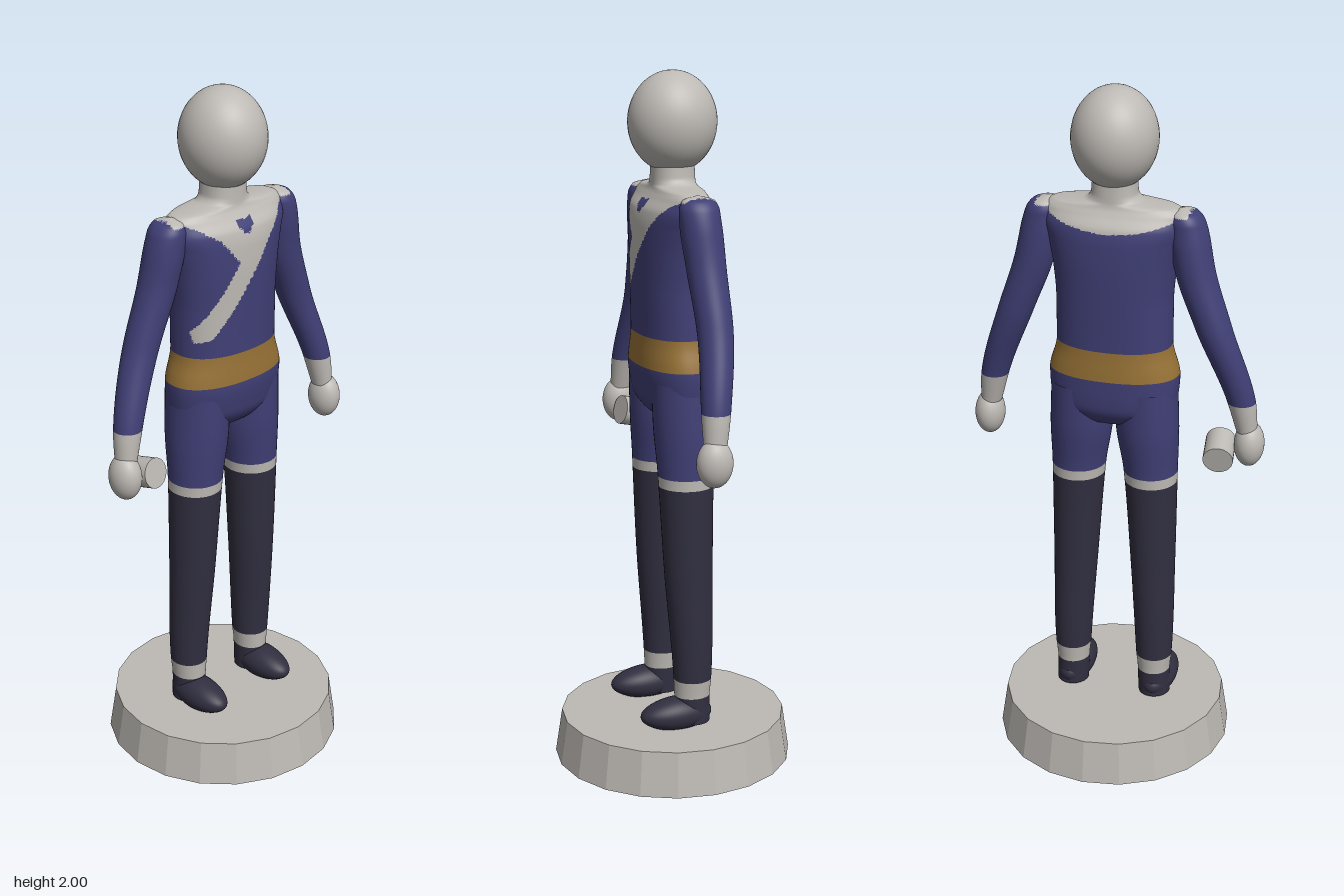
import * as THREE from 'three';

function material(name, color) {
  const m = new THREE.MeshStandardMaterial({ color });
  m.name = name;
  return m;
}

// Smooth monotone curve through column k of rows [y, cx, rx, cz, rz], y ascending
function sample(rows, k, y) {
  const slope = (i) => (rows[i + 1][k] - rows[i][k]) / (rows[i + 1][0] - rows[i][0]);
  const tangent = (i) => {
    if (i === 0) return slope(0);
    if (i === rows.length - 1) return slope(i - 1);
    const a = slope(i - 1), b = slope(i);
    return a * b <= 0 ? 0 : (2 * a * b) / (a + b);
  };
  let i = 0;
  while (i < rows.length - 2 && y > rows[i + 1][0]) i++;
  const h = rows[i + 1][0] - rows[i][0];
  const t = (y - rows[i][0]) / h, t2 = t * t, t3 = t2 * t;
  return (2 * t3 - 3 * t2 + 1) * rows[i][k] + (t3 - 2 * t2 + t) * h * tangent(i)
    + (3 * t2 - 2 * t3) * rows[i + 1][k] + (t3 - t2) * h * tangent(i + 1);
}

// Skin of stacked rounded rings between y0 and y1; pick(x, y, z) gives a material index
function loft(name, rows, y0, y1, mats, { step = 0.02, sides = 40, power = 2, mirror = 1, pick = () => 0 } = {}) {
  const count = Math.max(2, Math.ceil((y1 - y0) / step));
  const pos = [], lists = mats.map(() => []);
  const round = (v) => Math.sign(v) * Math.abs(v) ** (2 / power);
  for (let r = 0; r <= count; r++) {
    const y = y0 + ((y1 - y0) * r) / count;
    const [cx, rx, cz, rz] = [1, 2, 3, 4].map((k) => sample(rows, k, y));
    for (let i = 0; i < sides; i++) {
      const a = (i / sides) * Math.PI * 2;
      pos.push(mirror * cx + rx * round(Math.cos(a)), y, cz + rz * round(Math.sin(a)));
    }
  }
  const add = (...tri) => {
    const mid = [0, 1, 2].map((c) => tri.reduce((s, v) => s + pos[v * 3 + c], 0) / 3);
    lists[pick(...mid)].push(...tri);
  };
  for (let r = 0; r < count; r++) {
    for (let i = 0; i < sides; i++) {
      const j = (i + 1) % sides;
      const a = r * sides + i, c = r * sides + j;
      add(a, a + sides, c);
      add(a + sides, c + sides, c);
    }
  }
  const geo = new THREE.BufferGeometry();
  geo.setAttribute('position', new THREE.Float32BufferAttribute(pos, 3));
  geo.setIndex(lists.flat());
  geo.computeVertexNormals();
  let start = 0;
  lists.forEach((list, m) => {
    if (list.length) geo.addGroup(start, list.length, m);
    start += list.length;
  });
  const mesh = new THREE.Mesh(geo, mats);
  mesh.name = name;
  return mesh;
}

function inside(poly, x, y) {
  let hit = false;
  poly.forEach(([x1, y1], i) => {
    const [x2, y2] = poly[(i + 1) % poly.length];
    if (y1 > y !== y2 > y && x < ((x2 - x1) * (y - y1)) / (y2 - y1) + x1) hit = !hit;
  });
  return hit;
}

function ellipsoid(name, mat, [x, y, z], [rx, ry, rz]) {
  const mesh = new THREE.Mesh(new THREE.SphereGeometry(1, 40, 28).scale(rx, ry, rz), mat);
  mesh.position.set(x, y, z);
  mesh.name = name;
  return mesh;
}

// Profiles: y, centre x, radius x, centre z, radius z
const TORSO = [
  [1.025, 0, 0.02, -0.005, 0.03], [1.05, 0, 0.12, -0.005, 0.075], [1.1, 0, 0.18, -0.004, 0.104],
  [1.18, 0, 0.187, 0, 0.111], [1.275, 0, 0.165, 0, 0.106], [1.4, 0, 0.165, 0, 0.108],
  [1.5, 0, 0.173, 0, 0.109], [1.58, 0, 0.188, 0, 0.106], [1.625, 0, 0.2, 0, 0.098],
  [1.66, 0, 0.2, 0, 0.075], [1.68, 0, 0.175, 0, 0.064], [1.69, 0, 0.08, 0, 0.062],
  [1.71, 0, 0.064, 0, 0.061], [1.8, 0, 0.058, 0, 0.058],
];
const ARM = [
  [1.03, 0.38, 0.03, 0.022, 0.032], [1.12, 0.364, 0.04, 0.014, 0.04], [1.35, 0.283, 0.052, -0.012, 0.05],
  [1.5, 0.23, 0.056, -0.008, 0.055], [1.58, 0.213, 0.056, -0.003, 0.058], [1.64, 0.203, 0.05, 0, 0.056],
  [1.668, 0.197, 0.036, 0, 0.044], [1.68, 0.19, 0.003, 0, 0.003],
];
const LEG = [
  [0.14, 0.128, 0.047, -0.014, 0.05], [0.22, 0.126, 0.048, -0.013, 0.052], [0.27, 0.126, 0.053, -0.014, 0.055],
  [0.6, 0.117, 0.066, -0.004, 0.07], [0.88, 0.107, 0.078, 0, 0.08], [1.03, 0.097, 0.09, -0.003, 0.093],
  [1.15, 0.094, 0.088, -0.003, 0.096],
];

// Chest marking: neckline joined to a diagonal sash, with a small inset emblem shape
const SASH = [
  [-0.2, 1.7], [-0.19, 1.668], [-0.15, 1.648], [-0.09, 1.61], [-0.035, 1.54], [-0.158, 1.355],
  [-0.152, 1.32], [-0.115, 1.33], [0.085, 1.59], [0.15, 1.648], [0.2, 1.668], [0.2, 1.7],
];
const INSET = [[-0.025, 1.655], [0, 1.65], [0.025, 1.655], [0.024, 1.634], [0, 1.61], [-0.024, 1.634]];

export function createModel() {
  const white = material('pale grey', 0xbdb9b4);
  const blue = material('navy blue', 0x403f76);
  const dark = material('dark slate', 0x312f40);
  const gold = material('belt gold', 0x977236);
  const model = new THREE.Group();
  model.name = 'figure';

  // Faceted base
  const baseGeo = new THREE.CylinderGeometry(0.328, 0.348, 0.13, 20).toNonIndexed();
  baseGeo.computeVertexNormals();
  const base = new THREE.Mesh(baseGeo, white);
  base.position.y = 0.065;
  base.name = 'base';
  model.add(base);

  // Head, chest with neck, belt, hips
  model.add(ellipsoid('head', white, [0, 1.86, 0], [0.119, 0.14, 0.125]));
  const chestColour = (x, y, z) => {
    if (y > 1.672) return 1;
    if (z < 0) return y > 1.618 + x * x ? 1 : 0;
    return inside(SASH, x, y) && !inside(INSET, x, y) ? 1 : 0;
  };
  model.add(
    loft('chest', TORSO, 1.275, 1.8, [blue, white], { step: 0.004, sides: 120, power: 2.25, pick: chestColour }),
    loft('belt', TORSO, 1.188, 1.275, [gold], { sides: 120, power: 2.25 }),
    loft('hips', TORSO, 1.025, 1.188, [blue], { step: 0.01, sides: 120, power: 2.25 }),
  );

  for (const [side, mirror] of [['left', 1], ['right', -1]]) {
    // Sleeve, cuff and hand
    const sleeveColour = (x, y) => (y > 1.662 && Math.abs(x) < 0.215 ? 1 : 0);
    model.add(
      loft(side + 'Sleeve', ARM, 1.12, 1.68, [blue, white], { step: 0.004, sides: 48, mirror, pick: sleeveColour }),
      loft(side + 'Cuff', ARM, 1.03, 1.12, [white], { mirror }),
      ellipsoid(side + 'Hand', white, [mirror * 0.387, 0.988, 0.026], [0.043, 0.067, 0.051]),
    );

    // Leg in coloured sections
    const sections = [
      ['Ankle', 0.14, 0.22, dark], ['AnkleBand', 0.22, 0.27, white], ['Boot', 0.27, 0.85, dark],
      ['BootTop', 0.85, 0.88, white], ['Thigh', 0.88, 1.15, blue],
    ];
    for (const [part, y0, y1, mat] of sections) model.add(loft(side + part, LEG, y0, y1, [mat], { mirror }));

    // Shoe: ellipsoid with a flat sole and a lowered toe
    const shoe = ellipsoid(side + 'Shoe', dark, [mirror * 0.13, 0.168, 0.038], [0.054, 0.05, 0.108]);
    const p = shoe.geometry.attributes.position;
    for (let i = 0; i < p.count; i++) {
      const y = p.getY(i) * (1 - Math.max(0, p.getZ(i)) * 1.5);
      p.setY(i, Math.max(y, -0.037));
    }
    shoe.geometry.computeVertexNormals();
    model.add(shoe);
  }

  // Short cylinder held in the right hand
  const back = new THREE.Vector3(-0.312, 0.955, -0.04);
  const front = new THREE.Vector3(-0.3, 0.977, 0.052);
  const axis = front.clone().sub(back);
  const handle = new THREE.Mesh(new THREE.CylinderGeometry(0.043, 0.043, axis.length(), 24), white);
  handle.position.copy(back).add(front).multiplyScalar(0.5);
  handle.quaternion.setFromUnitVectors(new THREE.Vector3(0, 1, 0), axis.normalize());
  handle.name = 'handle';
  model.add(handle);

  return model;
}
